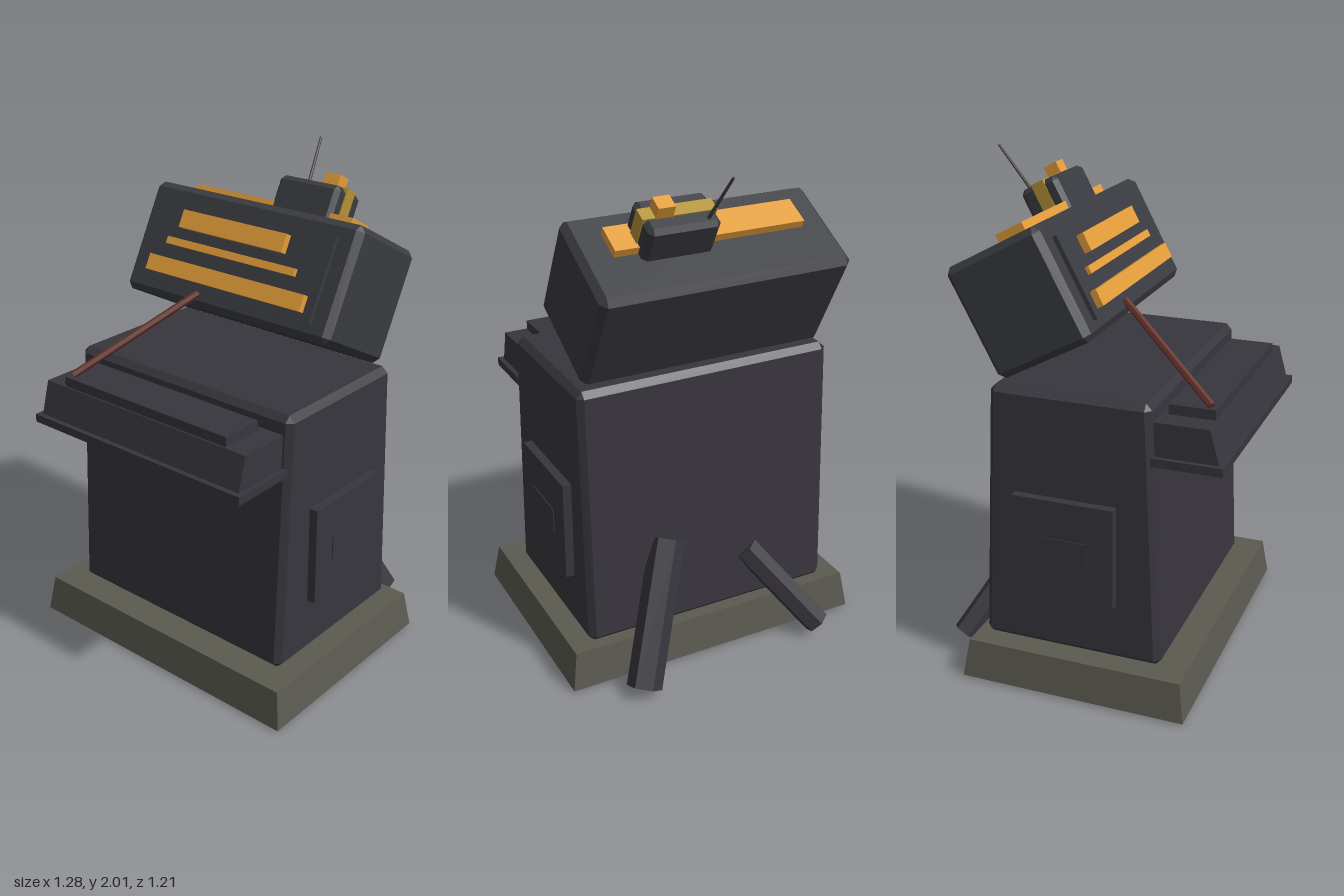
import * as THREE from 'three';
import { ConvexGeometry } from 'three/addons/geometries/ConvexGeometry.js';

const mat = (name, color) => {
  const m = new THREE.MeshStandardMaterial({ color });
  m.name = name;
  return m;
};

// Box with chamfered edges; the top can taper in depth
function chamferBox(w, h, d, c, topDepth = 1) {
  const pts = [];
  const [a, b, e] = [w / 2, h / 2, d / 2];
  for (const sx of [-1, 1]) for (const sy of [-1, 1]) for (const sz of [-1, 1]) {
    for (const [x, y, z] of [[a, b - c, e - c], [a - c, b, e - c], [a - c, b - c, e]]) {
      const k = 1 + (topDepth - 1) * (sy * y / h + 0.5);
      pts.push(new THREE.Vector3(sx * x, sy * y, sz * z * k));
    }
  }
  return new ConvexGeometry(pts);
}

// Plain box whose top is scaled in x and z
function taperBox(w, h, d, tx, tz) {
  const g = new THREE.BoxGeometry(w, h, d);
  const p = g.attributes.position;
  for (let i = 0; i < p.count; i++) {
    if (p.getY(i) > 0) p.setXYZ(i, p.getX(i) * tx, p.getY(i), p.getZ(i) * tz);
  }
  g.computeVertexNormals();
  return g;
}

export function createModel() {
  const model = new THREE.Group();
  const body = mat('charcoal body', 0x38363d);
  const headMat = mat('graphite head', 0x3a3b40);
  const stone = mat('grey base', 0x5a5a51);
  const orange = mat('orange', 0xe29d3a);
  const olive = mat('ochre band', 0xb39337);
  const brown = mat('brown rod', 0x65322c);
  const steel = mat('dark steel', 0x404042);
  brown.flatShading = true;
  body.flatShading = true;

  const add = (parent, name, geo, material, x = 0, y = 0, z = 0) => {
    const m = new THREE.Mesh(geo, material);
    m.name = name;
    m.position.set(x, y, z);
    parent.add(m);
    return m;
  };
  // Box given by its limits
  const block = (parent, name, material, [x0, x1], [y0, y1], [z0, z1]) =>
    add(parent, name, new THREE.BoxGeometry(x1 - x0, y1 - y0, z1 - z0), material,
      (x0 + x1) / 2, (y0 + y1) / 2, (z0 + z1) / 2);
  // Straight bar between two points
  const bar = (name, material, from, to, r0, r1, sides) => {
    const a = new THREE.Vector3(...from), b = new THREE.Vector3(...to);
    const dir = b.clone().sub(a);
    const m = add(model, name, new THREE.CylinderGeometry(r1, r0, dir.length(), sides), material);
    m.position.copy(a).add(b).multiplyScalar(0.5);
    m.quaternion.setFromUnitVectors(new THREE.Vector3(0, 1, 0), dir.normalize());
    return m;
  };

  // Base and cabinet
  add(model, 'base', taperBox(1.28, 0.155, 0.92, 0.963, 0.95), stone, 0, 0.0775, 0.056);
  add(model, 'cabinet', chamferBox(1.075, 1.065, 0.735, 0.025, 0.86), body, 0, 0.6835, 0.02);

  // Front desk
  block(model, 'deskLip', body, [-0.525, 0.525], [0.98, 1.013], [0.3, 0.608]);
  const profile = new THREE.Shape([[-0.3, 1.01], [-0.3, 1.145], [-0.55, 1.145], [-0.588, 1.01]]
    .map(([x, y]) => new THREE.Vector2(x, y)));
  const desk = new THREE.ExtrudeGeometry(profile, { depth: 1.01, bevelEnabled: false });
  desk.translate(0, 0, -0.505).rotateY(Math.PI / 2);
  add(model, 'desk', desk, body);
  block(model, 'deskPlate', body, [-0.41, 0.41], [1.14, 1.184], [0.365, 0.543]);

  // Side panels
  for (const s of [-1, 1]) {
    add(model, 'sidePanel', new THREE.BoxGeometry(0.05, 0.41, 0.41), body, s * 0.548, 0.595, 0.005);
    add(model, 'sidePanelPlate', new THREE.BoxGeometry(0.008, 0.105, 0.2), body, s * 0.573, 0.593, 0.005);
  }

  // Rear struts
  bar('leftStrut', body, [0.4, 0.027, -0.537], [0.19, 0.53, -0.325], 0.07, 0.07, 6);
  bar('rightStrut', body, [-0.42, 0.045, -0.505], [-0.17, 0.38, -0.32], 0.055, 0.055, 6);

  // Tilted head
  const head = new THREE.Group();
  head.name = 'head';
  head.position.set(0, 1.52, -0.187);
  head.rotation.x = -0.49;
  model.add(head);
  add(head, 'headBox', chamferBox(1.02, 0.455, 0.425, 0.025), headMat);
  block(head, 'facePanel', headMat, [-0.425, 0.425], [-0.17, 0.163], [0.19, 0.23]);
  block(head, 'upperBar', orange, [-0.283, 0.23], [0.054, 0.126], [0.22, 0.26]);
  block(head, 'middleBar', orange, [-0.335, 0.305], [-0.018, 0.011], [0.22, 0.245]);
  block(head, 'lowerBar', orange, [-0.387, 0.385], [-0.138, -0.074], [0.22, 0.257]);
  block(head, 'topStrip', orange, [-0.387, 0.387], [0.2, 0.259], [-0.012, 0.108]);

  // Small box on the head
  const topBox = add(head, 'topBox', chamferBox(0.285, 0.16, 0.173, 0.018), headMat, 0.15, 0.287, 0.031);
  topBox.name = 'topBox';
  block(head, 'topBoxBand', olive, [0.004, 0.298], [0.225, 0.371], [0.008, 0.064]);
  block(head, 'topBoxKnob', orange, [0.18, 0.247], [0.365, 0.416], [0.006, 0.066]);

  // Rod and antenna
  bar('rod', brown, [-0.388, 1.19, 0.52], [-0.12, 1.47, 0.085], 0.015, 0.015, 6);
  bar('antenna', steel, [0.055, 1.82, -0.372], [0.024, 2, -0.497], 0.007, 0.005, 8);

  return model;
}
